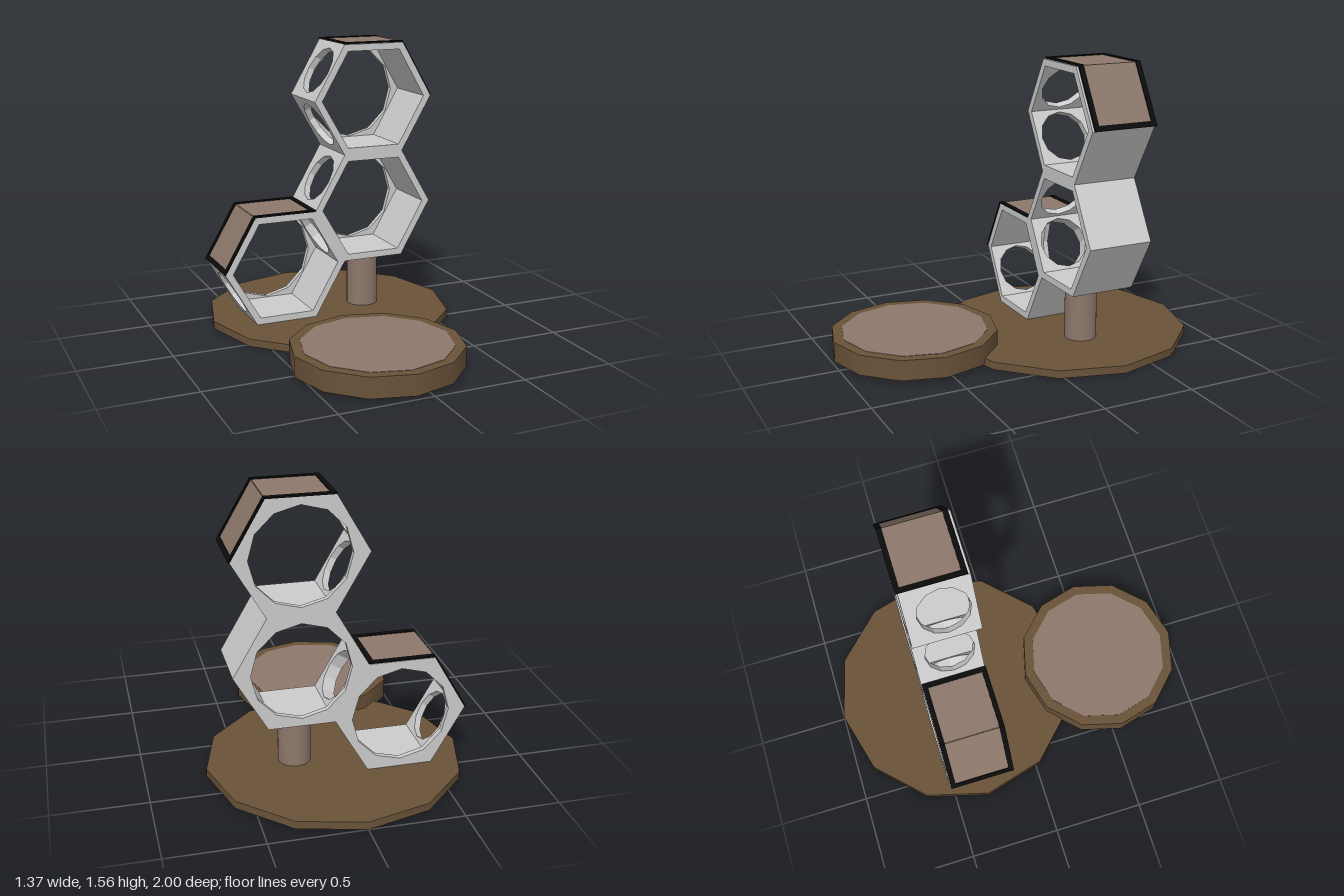
import * as THREE from 'three';

const SIDE = 0.349, APOTHEM = SIDE * Math.sqrt(3) / 2;
const WALL = 0.037, DEPTH = 0.36, MID_Z = -0.34, BACK = 0.03;
const INNER = SIDE * (APOTHEM - WALL) / APOTHEM;

const mat = (name, color) => {
  const m = new THREE.MeshStandardMaterial({ color });
  m.name = name;
  return m;
};

const polygon = (n, r, start = 0, cx = 0, cy = 0) =>
  Array.from({ length: n }, (_, i) => {
    const a = start + i * Math.PI * 2 / n;
    return new THREE.Vector2(cx + r * Math.cos(a), cy + r * Math.sin(a));
  });

export function createModel() {
  const model = new THREE.Group();
  model.name = 'hexagonClimber';
  const grey = mat('paleGrey', 0xcccccc);
  const tan = mat('tan', 0x8d786b);
  const brown = mat('brown', 0x6a5339);
  const black = mat('black', 0x0c0c0c);

  const add = (parent, name, geometry, material, x = 0, y = 0, z = 0) => {
    const mesh = new THREE.Mesh(geometry, material);
    mesh.name = name;
    mesh.position.set(x, y, z);
    parent.add(mesh);
    return mesh;
  };

  // One mitred wall of a cell, lying flat on top, optionally with a round hole
  const wallGeometry = (holed) => {
    const w = SIDE / 2, d = DEPTH / 2;
    const shape = new THREE.Shape([[-w, -d], [w, -d], [w, d], [-w, d]].map(p => new THREE.Vector2(...p)));
    if (holed) shape.holes.push(new THREE.Path(polygon(12, 0.138, 0, 0, -BACK / 2 + 0.03)));
    const g = new THREE.ExtrudeGeometry(shape, { depth: WALL, bevelEnabled: false });
    const p = g.attributes.position;
    for (let i = 0; i < p.count; i++) {
      if (Math.abs(p.getX(i)) > w - 0.001 && p.getZ(i) < WALL / 2) p.setX(i, Math.sign(p.getX(i)) * INNER / 2);
    }
    g.rotateX(-Math.PI / 2).translate(0, APOTHEM - WALL, 0);
    // the hole sits centred between the open front and the back plate
    if (holed) g.rotateY(Math.PI);
    g.computeVertexNormals();
    return g;
  };

  // Back plate with a twelve-sided opening
  const backShape = new THREE.Shape(polygon(6, INNER));
  backShape.holes.push(new THREE.Path(polygon(12, 0.26)));
  const backGeometry = new THREE.ExtrudeGeometry(backShape, { depth: BACK, bevelEnabled: false });

  // Cell walls are numbered counter-clockwise from the top
  const addCell = (name, x, y, holes) => {
    const cell = new THREE.Group();
    cell.name = name;
    cell.position.set(x, y, MID_Z);
    for (let i = 0; i < 6; i++) {
      add(cell, 'cellWall', wallGeometry(holes.includes(i)), grey).rotation.z = i * Math.PI / 3;
    }
    add(cell, 'backPlate', backGeometry, grey, 0, 0, -DEPTH / 2);
    model.add(cell);
    return cell;
  };

  // Tan covering with a black border that is left open at the fold
  const addPanel = (cell, wall, foldSide, dz) => {
    const panel = new THREE.Group();
    panel.name = 'coverPanel';
    panel.rotation.z = wall * Math.PI / 3;
    const t = 0.009, b = 0.028;
    add(panel, 'panelSheet', new THREE.BoxGeometry(SIDE, 0.004, DEPTH - b), tan, 0, APOTHEM + 0.002, dz);
    for (const s of [-1, 1]) {
      add(panel, 'borderLong', new THREE.BoxGeometry(SIDE + 0.005, t, b), black,
        foldSide * 0.0025, APOTHEM + t / 2, dz + s * (DEPTH - b) / 2);
    }
    add(panel, 'borderEnd', new THREE.BoxGeometry(b, t, DEPTH), black,
      -foldSide * (SIDE - b) / 2, APOTHEM + t / 2, dz);
    cell.add(panel);
  };

  const upper = addCell('upperCell', 0.215, 1.251, [1, 2]);
  addCell('middleCell', 0.215, 1.251 - 2 * APOTHEM, [1, 2]);
  const lower = addCell('lowerCell', 0.215 - 1.5 * SIDE, 1.251 - 3 * APOTHEM, [2, 5]);
  addPanel(upper, 0, 1, -0.012);
  addPanel(upper, 5, -1, -0.012);
  addPanel(lower, 0, -1, 0.004);
  addPanel(lower, 1, 1, 0.004);

  // Base, post and front step
  add(model, 'base', new THREE.CylinderGeometry(0.685, 0.685, 0.042, 12), brown, 0, 0.021, -0.315);
  add(model, 'post', new THREE.CylinderGeometry(0.087, 0.087, 0.31, 32), tan, 0.212, 0.193, -0.31);
  add(model, 'step', new THREE.CylinderGeometry(0.45, 0.45, 0.11, 12), brown, -0.09, 0.07, 0.545);
  add(model, 'stepPad', new THREE.CylinderGeometry(0.395, 0.395, 0.004, 12), tan, -0.09, 0.125, 0.545);
  return model;
}
